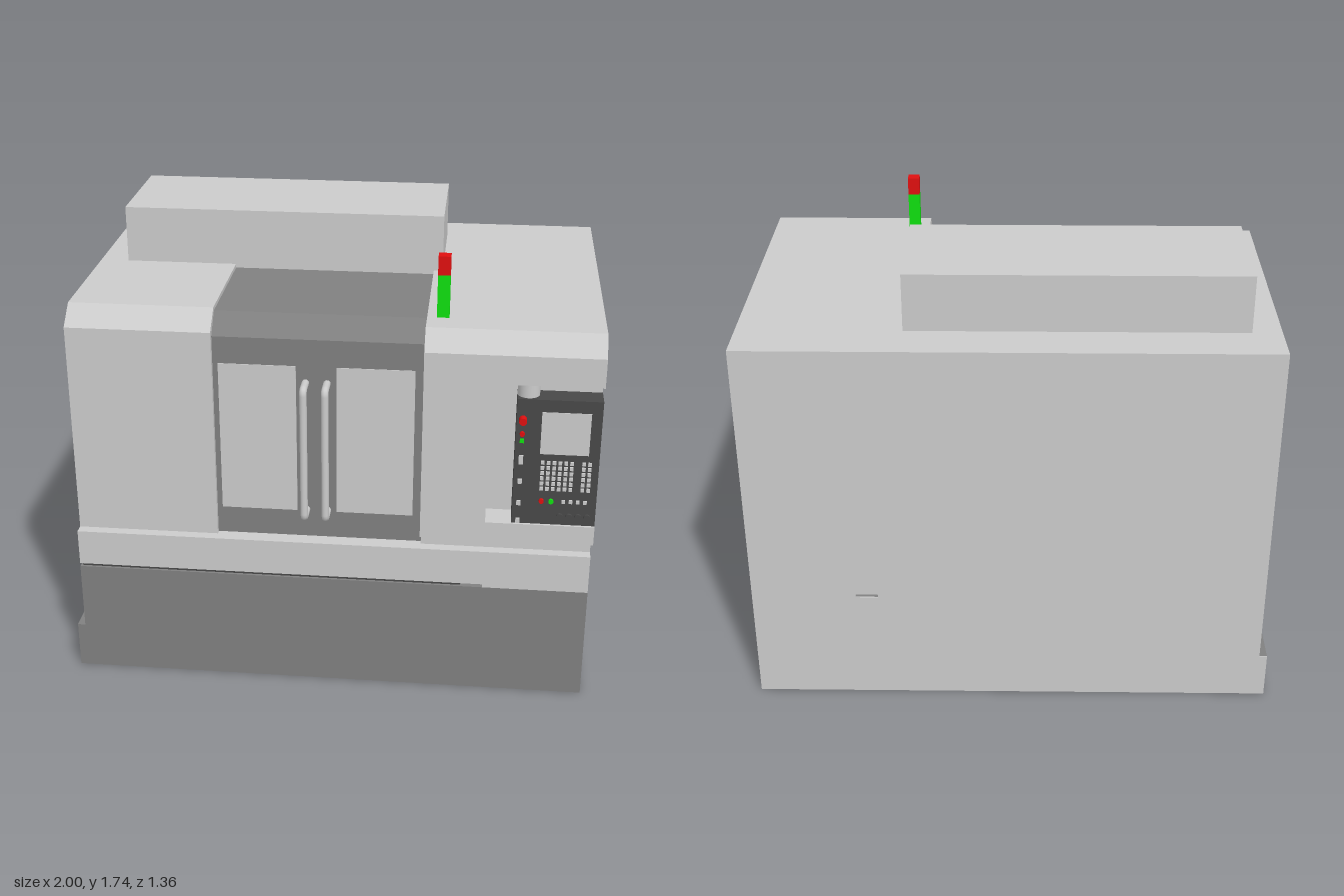
import * as THREE from 'three';

const mat = (color) => new THREE.MeshStandardMaterial({ color });

export function createModel() {
  const root = new THREE.Group();
  const light = mat(0xcccccc), dark = mat(0x808080), black = mat(0x484848);
  const glass = mat(0xdadada), red = mat(0xe01010), green = mat(0x10e010);

  const add = (name, geo, material, parent = root) => {
    const m = new THREE.Mesh(geo, material);
    m.name = name;
    parent.add(m);
    return m;
  };
  // Box given by its limits on each axis
  const box = (name, material, [x0, x1], [y0, y1], [z0, z1], parent) => {
    const m = add(name, new THREE.BoxGeometry(x1 - x0, y1 - y0, z1 - z0), material, parent);
    m.position.set((x0 + x1) / 2, (y0 + y1) / 2, (z0 + z1) / 2);
    return m;
  };
  // Side profile of [z, y] points, swept from x0 to x1
  const slab = (name, material, x0, x1, pts) => {
    const shape = new THREE.Shape(pts.map(([z, y]) => new THREE.Vector2(z, y)));
    const geo = new THREE.ExtrudeGeometry(shape, { depth: x1 - x0, bevelEnabled: false });
    geo.rotateY(-Math.PI / 2).translate(x1, 0, 0);
    return add(name, geo, material);
  };
  const B = -0.676; // rear of the casing, in front of the back plate

  // Base with side step, thin seam and sill
  box('base', dark, [-0.97, 1], [0, 0.455], [B, 0.58]);
  box('baseStep', dark, [-1, -0.97], [0, 0.185], [B, 0.58]);
  box('seam', black, [-0.96, 0.515], [0.455, 0.468], [B, 0.57]);
  box('seamEnd', light, [0.6, 1], [0.455, 0.468], [B, 0.58]);
  box('sill', light, [-0.97, 1], [0.468, 0.61], [B, 0.58]);

  // Back plate with a small slot
  const plate = new THREE.Shape([[-1, 0], [1, 0], [1, 1.51], [-0.97, 1.51], [-0.97, 0.185], [-1, 0.185]]
    .map(([x, y]) => new THREE.Vector2(x, y)));
  plate.holes.push(new THREE.Path([[0.515, 0.455], [0.515, 0.468], [0.6, 0.468], [0.6, 0.455]]
    .map(([x, y]) => new THREE.Vector2(x, y))));
  add('backPlate', new THREE.ExtrudeGeometry(plate, { depth: 0.004, bevelEnabled: false }), light)
    .position.z = -0.68;

  // Housings either side of the doors
  slab('leftHousing', light, -0.97, -0.425,
    [[B, 0.61], [0.54, 0.61], [0.54, 1.44], [0.46, 1.51], [B, 1.51]]);
  const lower = [[B, 0.61], [0.54, 0.61], [0.54, 0.7], [0.65, 0.7]];
  const upper = [[0.65, 1.44], [0.58, 1.51], [B, 1.51]];
  slab('controlHousing', light, 0.36, 0.6, [...lower, ...upper]);
  slab('controlRecess', light, 0.6, 1,
    [...lower, [0.65, 0.775], [0.54, 0.775], [0.54, 1.33], [0.65, 1.33], ...upper]);
  box('rearHousing', light, [-0.425, 0.36], [0.61, 1.51], [B, -0.04]);
  box('roofBox', light, [-0.86, 0.395], [1.51, 1.73], [-0.51, -0.04]);

  // Doors, with the sliding roof behind them
  slab('doors', dark, -0.425, 0.36,
    [[-0.04, 0.61], [0.52, 0.61], [0.52, 1.42], [0.45, 1.495], [-0.04, 1.495]]);
  for (const [x0, x1] of [[-0.405, -0.115], [0.035, 0.325]])
    box('doorWindow', glass, [x0, x1], [0.72, 1.315], [0.515, 0.523]);
  for (const x of [-0.08, 0]) {
    const path = new THREE.CurvePath();
    const p = [[0.725, 0.515], [0.725, 0.575], [0.745, 0.595], [1.23, 0.595], [1.25, 0.575], [1.25, 0.515]]
      .map(([y, z]) => new THREE.Vector3(x, y, z));
    const corner = (y) => new THREE.Vector3(x, y, 0.595);
    path.add(new THREE.LineCurve3(p[0], p[1]));
    path.add(new THREE.QuadraticBezierCurve3(p[1], corner(0.725), p[2]));
    path.add(new THREE.LineCurve3(p[2], p[3]));
    path.add(new THREE.QuadraticBezierCurve3(p[3], corner(1.25), p[4]));
    path.add(new THREE.LineCurve3(p[4], p[5]));
    add('doorHandle', new THREE.TubeGeometry(path, 80, 0.014, 12), light);
  }

  // Signal light
  box('signalGreen', green, [0.395, 0.44], [1.51, 1.67], [0.435, 0.48]);
  box('signalRed', red, [0.395, 0.44], [1.67, 1.74], [0.435, 0.48]);

  // Control panel hung from a pivot
  const panel = new THREE.Group();
  panel.name = 'controlPanel';
  root.add(panel);
  add('panelPivot', new THREE.CylinderGeometry(0.04, 0.04, 0.055, 24), light, panel)
    .position.set(0.735, 1.3025, 0.6);
  box('panelBody', black, [0.695, 0.999], [0.78, 1.277], [0.562, 0.649], panel);
  box('screen', glass, [0.785, 0.96], [1.065, 1.23], [0.645, 0.651], panel);
  const key = (name, m, x, y, w, h = w) =>
    box(name, m, [x - w / 2, x + w / 2], [y - h / 2, y + h / 2], [0.645, 0.656], panel);
  const knob = (name, m, x, y, r, z) => {
    const k = add(name, new THREE.CylinderGeometry(r, r, z - 0.645, 20), m, panel);
    k.rotation.x = Math.PI / 2;
    k.position.set(x, y, (z + 0.645) / 2);
  };
  for (let row = 0; row < 6; row++) {
    for (let col = 0; col < 6; col++) key('key', light, 0.797 + col * 0.021, 1.032 - row * 0.021, 0.013);
    for (let col = 0; col < 2; col++) key('functionKey', light, 0.945 + col * 0.021, 1.032 - row * 0.021, 0.013);
  }
  for (const y of [1.04, 0.953, 0.865, 0.792]) key('sideSwitch', light, 0.718, y, 0.016, y > 1 ? 0.035 : 0.018);
  knob('emergencyStem', light, 0.718, 1.2, 0.008, 0.665);
  knob('emergencyStop', red, 0.718, 1.2, 0.014, 0.678);
  knob('stopButton', red, 0.718, 1.143, 0.009, 0.66);
  key('startButton', green, 0.718, 1.115, 0.015);
  knob('cycleStop', red, 0.8, 0.877, 0.009, 0.66);
  knob('cycleStart', green, 0.835, 0.877, 0.009, 0.66);
  for (let i = 0; i < 4; i++) {
    key('modeKey', light, 0.88 + i * 0.026, 0.877, 0.013);
    knob('dial', black, 0.87 + i * 0.033, 0.815, 0.013, 0.658);
  }

  return root;
}
